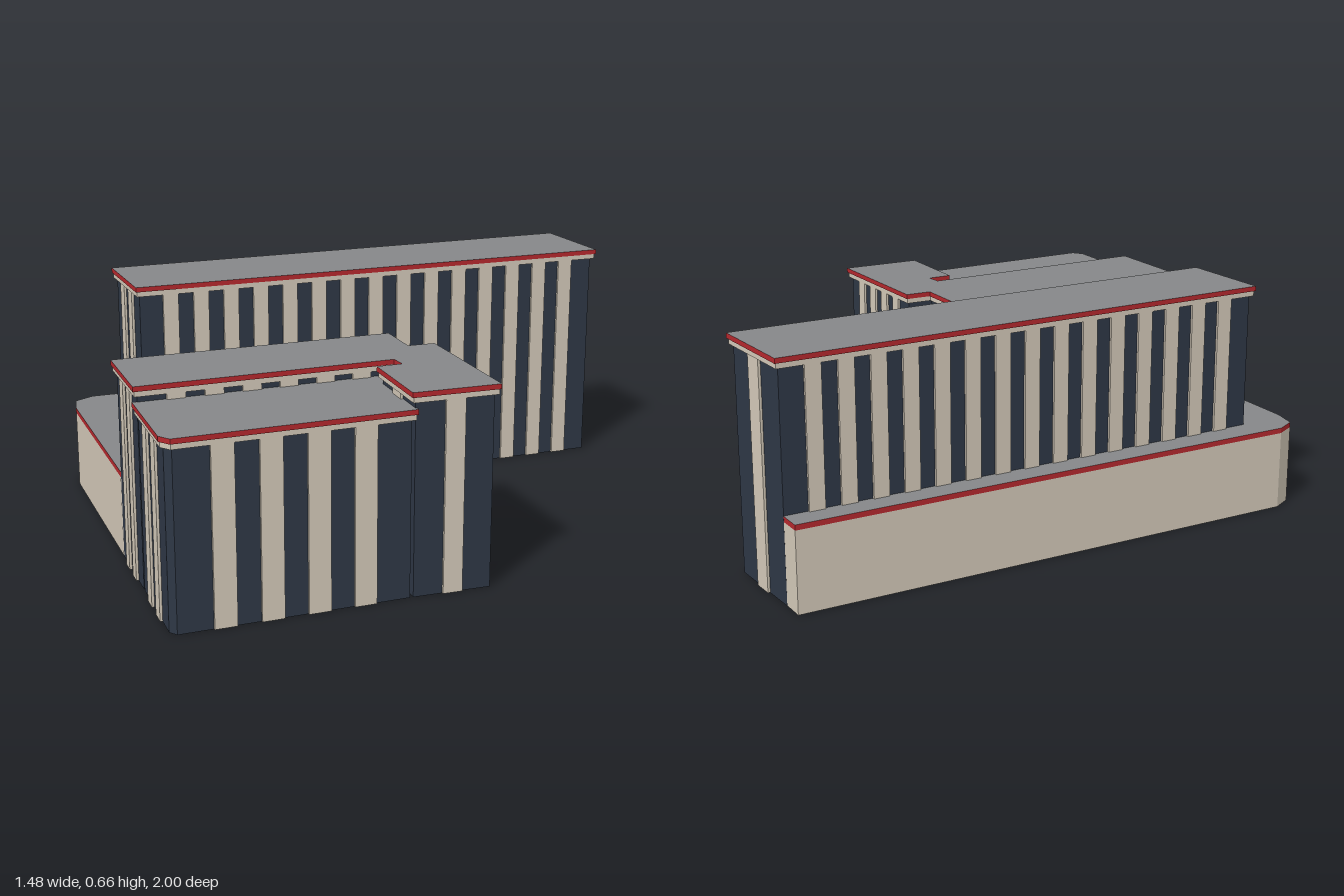
import * as THREE from 'three';

const mat = (name, color) => {
  const m = new THREE.MeshStandardMaterial({ color });
  m.name = name;
  return m;
};

// Move every edge of an [x, z] outline inwards by d, with mitred corners
function inset(pts, d) {
  const n = pts.length;
  let area = 0;
  pts.forEach(([x, z], i) => {
    const [u, v] = pts[(i + 1) % n];
    area += x * v - u * z;
  });
  const s = Math.sign(area);
  const normal = (a, b) => {
    const dx = b[0] - a[0], dz = b[1] - a[1], l = Math.hypot(dx, dz);
    return [(-dz / l) * s, (dx / l) * s];
  };
  return pts.map((p, i) => {
    const a = normal(pts[(i + n - 1) % n], p);
    const b = normal(p, pts[(i + 1) % n]);
    const k = d / (1 + a[0] * b[0] + a[1] * b[1]);
    return [p[0] + (a[0] + b[0]) * k, p[1] + (a[1] + b[1]) * k];
  });
}

// Upright prism over an [x, z] outline; materials may be [caps, sides]
function prism(name, pts, y0, y1, material) {
  const shape = new THREE.Shape(pts.map(([x, z]) => new THREE.Vector2(x, -z)));
  const geo = new THREE.ExtrudeGeometry(shape, { depth: y1 - y0, bevelEnabled: false });
  geo.rotateX(-Math.PI / 2).translate(0, y0, 0);
  const mesh = new THREE.Mesh(geo, material);
  mesh.name = name;
  return mesh;
}

export function createModel() {
  const cream = mat('cream render', 0xd2c8b8);
  const navy = mat('dark glazing', 0x2e3745);
  const red = mat('red trim', 0xb4282d);
  const grey = mat('grey roof', 0x858789);
  const model = new THREE.Group();
  model.name = 'officeComplex';

  // Glazed block: roof outline, number of pilasters on each edge, height
  function block(name, outline, counts, top) {
    const g = new THREE.Group();
    g.name = name;
    const wallTop = top - 0.029, walls = inset(outline, 0.013);
    g.add(prism('glazedWalls', walls, 0, wallTop, navy));
    g.add(prism('cornice', inset(outline, 0.004), wallTop, top - 0.014, cream));
    g.add(prism('roof', outline, top - 0.014, top, [grey, red]));
    counts.forEach((n, e) => {
      const a = walls[e], b = walls[(e + 1) % walls.length];
      const dx = b[0] - a[0], dz = b[1] - a[1], len = Math.hypot(dx, dz);
      const width = Math.min(0.06, (0.5 * len) / (n + 1));
      for (let i = 1; i <= n; i++) {
        const t = i / (n + 1);
        const p = new THREE.Mesh(new THREE.BoxGeometry(width, wallTop - 0.001, 0.014), cream);
        p.position.set(a[0] + dx * t, (wallTop + 0.001) / 2, a[1] + dz * t);
        p.rotation.y = -Math.atan2(dz, dx);
        p.name = 'pilaster';
        g.add(p);
      }
    });
    model.add(g);
  }

  // Long tall slab
  block('tallSlab',
    [[0.026, -0.985], [0.283, -0.868], [-0.405, 0.44], [-0.653, 0.317]],
    [1, 15, 2, 15], 0.66);

  // Stepped middle block
  block('middleBlock',
    [[-0.165, 0.745], [0.205, 0.045], [0.33, 0.11], [0.368, 0.043], [0.738, 0.23],
      [0.62, 0.44], [0.4, 0.322], [0.433, 0.258], [0.39, 0.24], [0.065, 0.87]],
    [7, 1, 0, 4, 1, 1, 0, 0, 6, 2], 0.557);

  // Lower front block with a clipped corner
  block('frontBlock',
    [[0.05, 0.862], [0.375, 0.232], [0.433, 0.258], [0.405, 0.305], [0.628, 0.425],
      [0.337, 0.995], [0.3, 1.0]],
    [0, 0, 0, 0, 4, 0, 2], 0.512);

  // Low podium linking the blocks
  const podium = [[-0.03, -1.0], [0.03, -0.97], [-0.08, -0.27], [-0.04, -0.25],
    [0.19, -0.145], [0.153, -0.06], [0.365, 0.052], [0.36, 0.15], [0.23, 0.15],
    [-0.1, 0.74], [-0.152, 0.738], [-0.685, 0.452], [-0.742, 0.405], [-0.742, 0.34]];
  model.add(prism('podiumWalls', podium, 0.002, 0.23, cream));
  model.add(prism('podiumRoof', podium, 0.23, 0.245, [grey, red]));
  return model;
}
